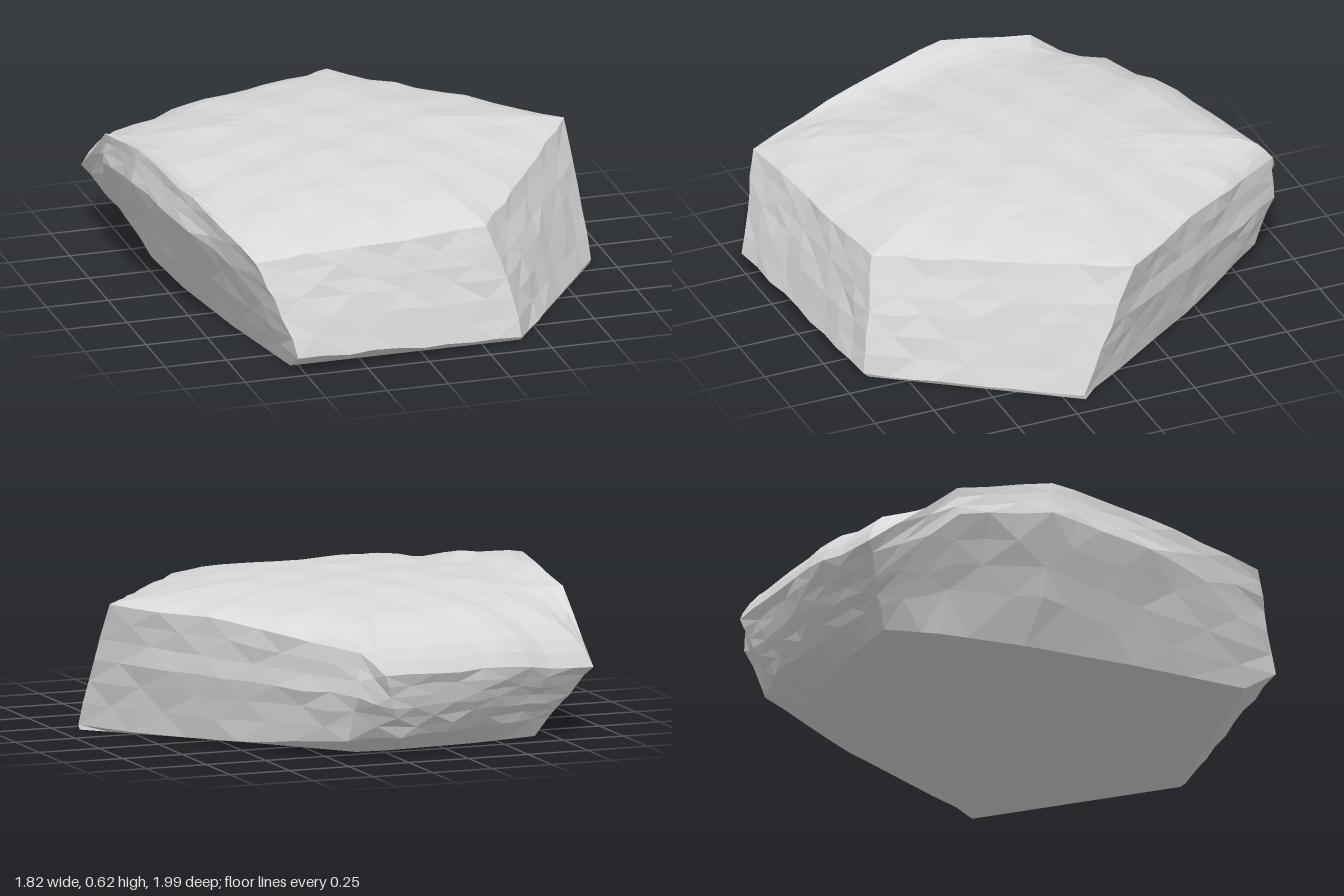
import * as THREE from 'three';

// Corner columns, counterclockwise from above: base, lower edge, bulge, top edge.
// lip is how far the top edge rises (or drops, if negative) from the top surface.
const corners = [
  { p: [[-.53, 0, .88], [-.53, .075, 1], [-.61, .30, .94], [-.68, .45, .89]], lip: -.02 },
  { p: [[.41, 0, .88], [.41, .015, .90], [.36, .25, .86], [.29, .46, .81]], lip: -.01 },
  { p: [[.91, 0, .175], [.91, .015, .18], [.895, .30, .06], [.875, .53, -.05]], lip: 0 },
  { p: [[.48, 0, -.26], [.56, .02, -.34], [.56, .28, -.44], [.54, .51, -.49]], lip: -.01 },
  { p: [[.10, 0, -.70], [.20, .07, -.86], [.19, .26, -.94], [.18, .43, -.94]], lip: -.08 },
  { p: [[-.03, 0, -.71], [-.02, .08, -.87], [.04, .20, -.95], [.09, .35, -.99]], lip: -.13 },
  { p: [[-.40, 0, -.68], [-.40, .08, -.77], [-.44, .20, -.83], [-.48, .32, -.87]], lip: -.13 },
  { p: [[-.68, 0, -.62], [-.73, .08, -.65], [-.80, .17, -.69], [-.88, .28, -.73]], lip: -.12 },
  { p: [[-.70, 0, -.40], [-.76, .16, -.38], [-.90, .43, -.38], [-.89, .54, -.38]], lip: .03 },
  { p: [[-.68, 0, -.05], [-.77, .18, 0], [-.905, .48, 0], [-.88, .62, 0]], lip: .09 },
  { p: [[-.62, 0, .40], [-.66, .10, .41], [-.80, .42, .42], [-.79, .56, .42]], lip: .05 },
];
const lerp = THREE.MathUtils.lerp;
const mix = (a, b, t) => a.map((v, i) => lerp(v, b[i], t));

// Repeatable unevenness from -1 to 1
function rough(i, j, k) {
  const s = Math.sin(i * 127.1 + j * 311.7 + k * 74.7) * 43758.5453;
  return (s - Math.floor(s)) * 2 - 1;
}

// Shallow undulation of the top
const ripple = (x, z) => Math.sin(13 * x + 5 * z) * Math.sin(17 * z - 4 * x + 1);

// Subdivide the straight runs between corners into narrow columns
function makeColumns() {
  const columns = [];
  corners.forEach((a, c) => {
    const b = corners[(c + 1) % corners.length];
    const span = Math.hypot(a.p[3][0] - b.p[3][0], a.p[3][2] - b.p[3][2]);
    const n = Math.max(2, Math.round(span / 0.11));
    for (let s = 0; s < n; s++) {
      columns.push({
        p: a.p.map((v, l) => mix(v, b.p[l], s / n)),
        lip: lerp(a.lip, b.lip, s / n),
      });
    }
  });
  return columns;
}

// One vertical line of points: base centre, wall, domed top, top centre
function columnPoints({ p, lip }, i) {
  const wall = [p[1]];
  for (let l = 1; l < 3; l++) {
    for (let s = 1; s <= 3; s++) wall.push(mix(p[l], p[l + 1], s / 3));
  }
  // Chip the wall
  const chipped = wall.map((v, j) => v.map((c, k) => c + rough(i, j, k) * 0.006));

  const crown = [-0.05, 0.588, -0.08], edge = chipped[chipped.length - 1];
  const top = [.97, .93, .87, .79, .7, .59, .48, .37, .25, .12, 0].map((t) => {
    const x = lerp(crown[0], edge[0], t), z = lerp(crown[2], edge[2], t);
    const y = lerp(crown[1], edge[1] - lip, t ** 2.6) + lip * t ** 13;
    return [x, y + 0.006 * ripple(x, z), z];
  });
  return [[0.05, 0, 0.05], p[0], ...chipped, ...top];
}

function makeStone() {
  const grid = makeColumns().map(columnPoints);
  const pos = [];
  grid.forEach((a, i) => {
    const b = grid[(i + 1) % grid.length];
    const last = a.length - 1;
    for (let j = 0; j < last; j++) {
      if (j === 0) pos.push(...a[0], ...b[1], ...a[1]);
      else if (j === last - 1) pos.push(...a[j], ...b[j], ...b[last]);
      else if ((i + j) % 2) pos.push(...a[j], ...b[j], ...a[j + 1], ...b[j], ...b[j + 1], ...a[j + 1]);
      else pos.push(...a[j], ...b[j + 1], ...a[j + 1], ...a[j], ...b[j], ...b[j + 1]);
    }
  });
  // Unshared corners give flat facets
  const g = new THREE.BufferGeometry();
  g.setAttribute('position', new THREE.Float32BufferAttribute(pos, 3));
  g.computeVertexNormals();
  return g;
}

export function createModel() {
  const stoneGrey = new THREE.MeshStandardMaterial({ color: 0xd9d9d9 });
  stoneGrey.name = 'stoneGrey';
  const group = new THREE.Group();
  group.name = 'rock';
  const stone = new THREE.Mesh(makeStone(), stoneGrey);
  stone.name = 'stoneSlab';
  group.add(stone);
  return group;
}
